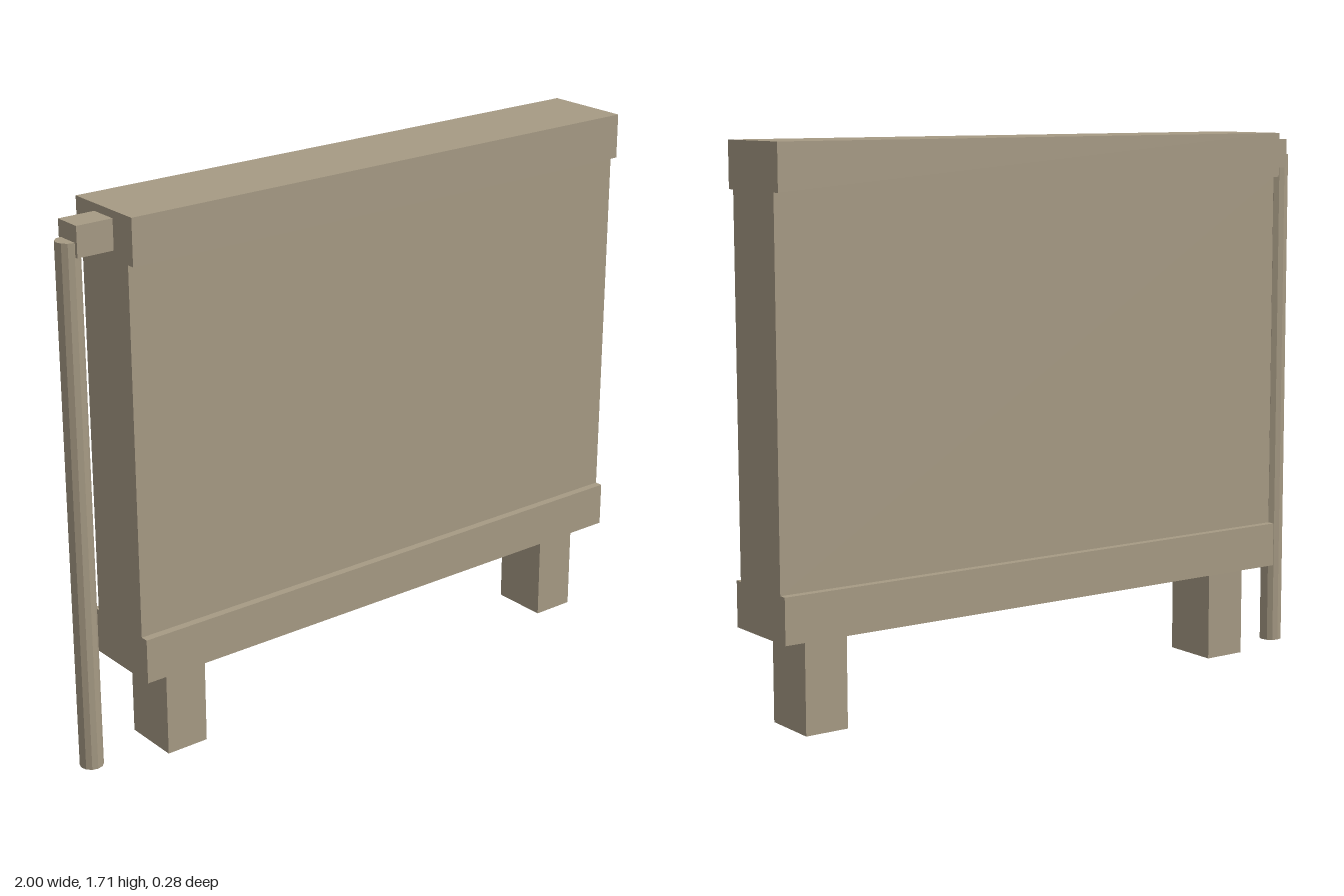
import * as THREE from 'three';

export function createModel() {
  const model = new THREE.Group();
  model.name = 'radiator';
  const material = new THREE.MeshStandardMaterial({ color: 0xa69a84, flatShading: true });

  const add = (name, geometry, x, y, z = 0) => {
    const mesh = new THREE.Mesh(geometry, material);
    mesh.name = name;
    mesh.position.set(x, y, z);
    model.add(mesh);
    return mesh;
  };

  // Body: I-shaped side profile (wide top and bottom rails) swept along x
  const left = 0.995, right = -0.845;
  const half = [[0.14, 0.29], [0.14, 0.43], [0.115, 0.43], [0.115, 1.565], [0.14, 1.565], [0.14, 1.705]];
  const mirrored = half.map(([z, y]) => [-z, y]).reverse();
  const profile = new THREE.Shape([...half, ...mirrored].map(([z, y]) => new THREE.Vector2(z, y)));
  const body = new THREE.ExtrudeGeometry(profile, { depth: left - right, bevelEnabled: false });
  body.rotateY(Math.PI / 2);
  add('body', body, right, 0);

  // Feet
  for (const [name, x] of [['rightFoot', -0.68], ['leftFoot', 0.835]]) {
    add(name, new THREE.BoxGeometry(0.14, 0.29, 0.186), x, 0.145);
  }

  // Connector block and supply pipe on the right end
  add('pipeConnector', new THREE.BoxGeometry(0.12, 0.092, 0.092), -0.902, 1.636);
  add('pipe', new THREE.CylinderGeometry(0.036, 0.036, 1.632, 12), -0.964, 0.816);

  return model;
}
